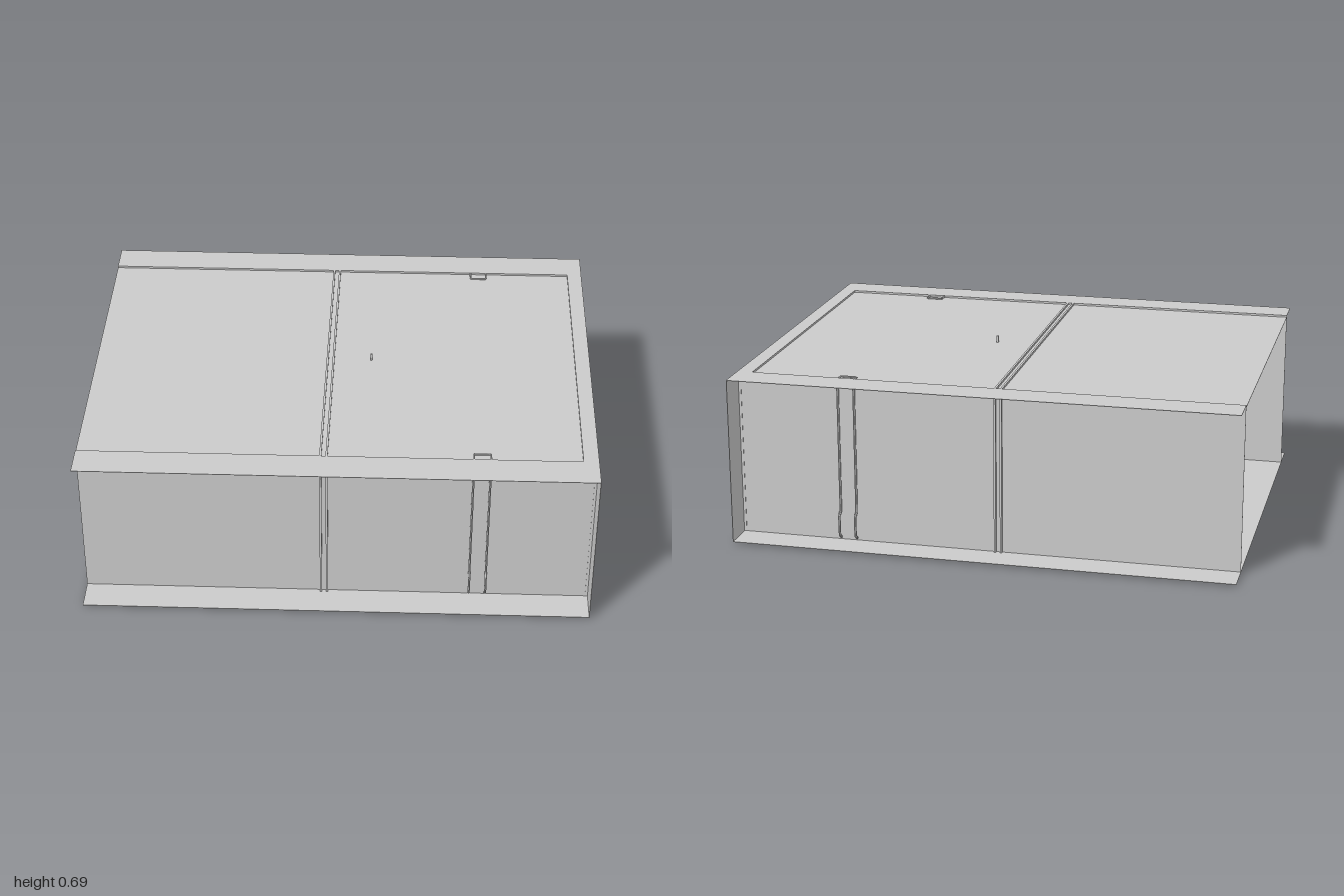
import * as THREE from 'three';

export function createModel() {
  const model = new THREE.Group();
  const material = new THREE.MeshStandardMaterial({ color: 0xcccccc, flatShading: true, side: THREE.DoubleSide });
  const T = 0.002; // sheet thickness

  const add = (name, geometry) => {
    const mesh = new THREE.Mesh(geometry, material);
    mesh.name = name;
    model.add(mesh);
    return mesh;
  };
  // Box given by its limits
  const box = (name, [x0, x1], [y0, y1], [z0, z1]) =>
    add(name, new THREE.BoxGeometry(x1 - x0, y1 - y0, z1 - z0))
      .position.set((x0 + x1) / 2, (y0 + y1) / 2, (z0 + z1) / 2);
  // Range running outwards from the centre on either side
  const side = (s, a, b) => (s > 0 ? [a, b] : [-b, -a]);
  // Square-cornered pipe through a few points
  const pipe = (name, points, radius) => {
    const path = new THREE.CurvePath();
    const p = points.map((v) => new THREE.Vector3(...v));
    for (let i = 1; i < p.length; i++) path.add(new THREE.LineCurve3(p[i - 1], p[i]));
    add(name, new THREE.TubeGeometry(path, (p.length - 1) * 8, radius, 6));
  };

  const W = 0.67, TOP = 0.675, DECK = 0.667, FLOOR = 0.008;

  // Floor sheet and recessed roof; the -x end stays open
  box('floor', [-1, 1], [FLOOR, FLOOR + T], [-0.8, 0.8]);
  box('roof', [-1, 0.94], [DECK - T, DECK], [-W, W]);
  box('roofEndStrip', [0.94, 1], [TOP - T, TOP], [-W, W]);
  box('roofStep', [0.94, 0.94 + T], [DECK - T, TOP], [-W, W]);
  box('endWall', [0.99 - T, 0.99], [FLOOR, TOP], [-W, W]);

  // Side walls, overhanging flanges and end wall borders
  for (const s of [1, -1]) {
    box('sideWall', [-1, 0.99], [FLOOR, TOP], side(s, W - T, W));
    box('roofFlange', [-1, 1], [TOP - T, TOP], side(s, W, 0.8));
    box('endWallBorder', [1 - T, 1], [FLOOR, TOP], side(s, W, 0.8));
    box('endWallStep', [0.99 - T, 1], [FLOOR, TOP], side(s, W, W + T));
  }

  // Paired ribs wrapping the roof and side walls, with feet below
  for (const x of [-0.066, -0.042]) {
    box('roofRib', [x, x + 0.008], [DECK, TOP], [-W, W]);
    for (const s of [1, -1]) {
      box('wallRib', [x, x + 0.008], [FLOOR, TOP - T], side(s, W, W + 0.012));
      box('ribFoot', [x, x + 0.008], [0, FLOOR], side(s, 0.655, 0.695));
    }
  }

  // Twin pipes on each side wall, joined over the roof and under the floor
  for (const s of [1, -1]) {
    for (const x of [0.525, 0.59]) {
      pipe('wallPipe', [
        [x, DECK, s * 0.675], [x, 0.13, s * 0.675], [x, 0.115, s * 0.695],
        [x, 0.035, s * 0.695], [x, 0.02, s * 0.675],
      ], 0.005);
    }
    pipe('roofPipeLoop', [
      [0.525, DECK + 0.003, s * W], [0.525, DECK + 0.003, s * 0.63],
      [0.59, DECK + 0.003, s * 0.63], [0.59, DECK + 0.003, s * W],
    ], 0.004);
    pipe('floorPipeLoop', [
      [0.525, 0.004, s * 0.7], [0.525, 0.004, s * 0.61],
      [0.59, 0.004, s * 0.61], [0.59, 0.004, s * 0.7],
    ], 0.004);
    // Small pads under the closed end
    for (const z of [0.245, 0.65]) box('floorPad', [0.945, 0.98], [0, FLOOR], side(s, z, z + 0.035));
  }

  // Shallow plate under the floor with clipped inner corners
  const plate = new THREE.Shape([
    [0.995, -0.445], [0.995, 0.445], [0.485, 0.445], [0.46, 0.42], [0.46, -0.42], [0.485, -0.445],
  ].map(([x, z]) => new THREE.Vector2(x, z)));
  const plateGeometry = new THREE.ExtrudeGeometry(plate, { depth: 0.005, bevelEnabled: false });
  plateGeometry.rotateX(-Math.PI / 2);
  add('underPlate', plateGeometry).position.y = 0.003;

  // Small pin on the roof
  box('roofPin', [0.111, 0.119], [DECK, 0.695], [-0.004, 0.004]);

  return model;
}
